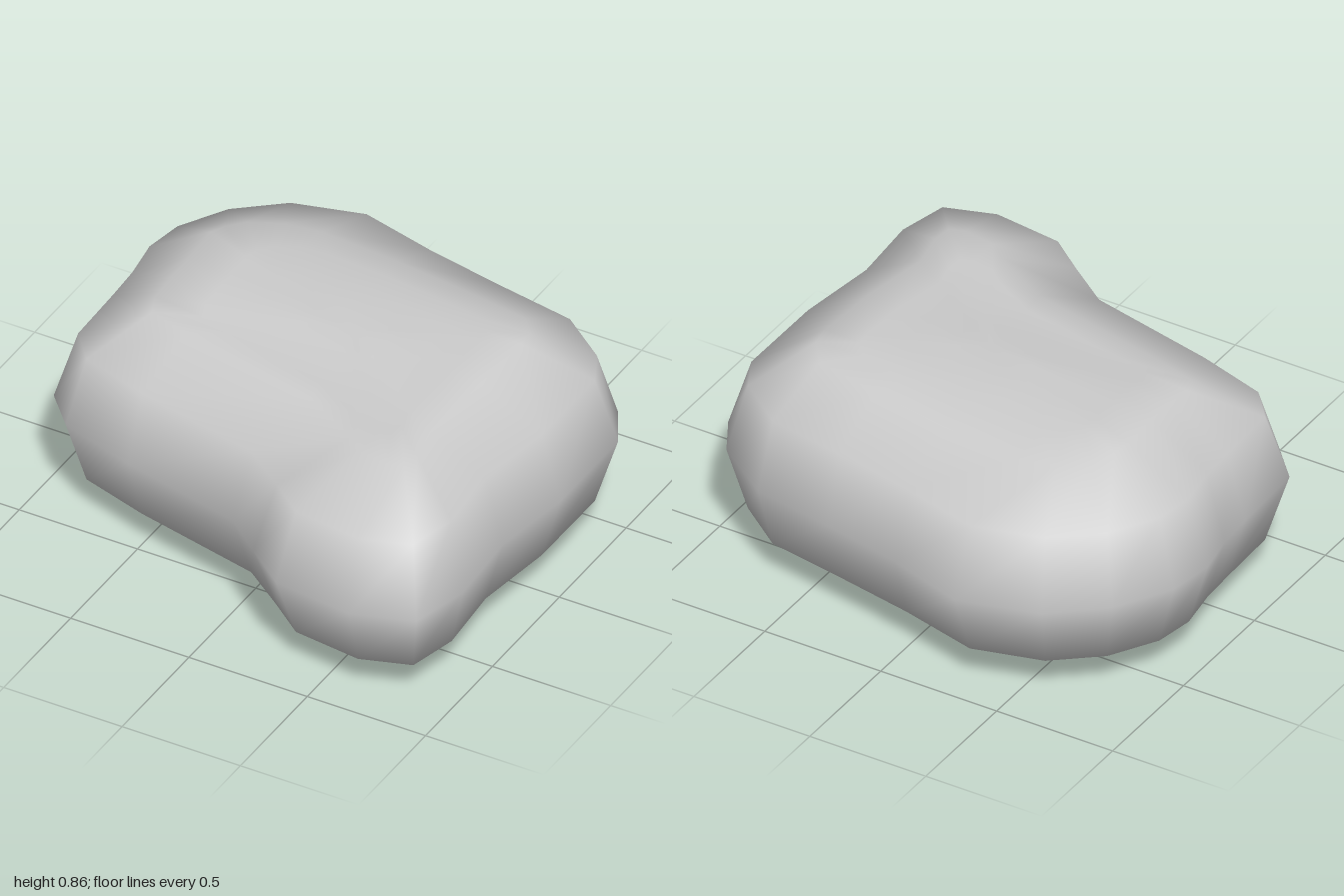
import * as THREE from 'three';

// Plan of the stone: [outer x, outer z, x and z where the flat top begins]
const PLAN = [
  [-0.32, -1, -0.33, -0.58], [0, -0.9, 0, -0.55], [0.33, -0.83, 0.33, -0.5],
  [0.67, -0.77, 0.6, -0.45], [0.91, -0.6, 0.67, -0.36], [1, -0.44, 0.68, -0.28],
  [1, -0.01, 0.67, 0], [0.95, 0.33, 0.64, 0.33], [0.97, 0.67, 0.67, 0.48],
  [0.91, 0.91, 0.66, 0.56], [0.67, 0.99, 0.6, 0.58], [0.34, 0.95, 0.47, 0.56],
  [0.17, 0.82, 0.4, 0.5], [0.01, 0.69, 0.15, 0.36], [-0.5, 0.57, -0.45, 0.23],
  [-0.82, 0.47, -0.62, 0.18], [-0.95, 0.33, -0.65, 0.1], [-0.96, 0, -0.65, -0.02],
  [-0.97, -0.16, -0.65, -0.15], [-1, -0.33, -0.66, -0.33], [-0.97, -0.52, -0.64, -0.4],
  [-0.84, -0.74, -0.59, -0.48], [-0.64, -0.91, -0.48, -0.55],
];
const MID = 0.433;
const CENTRE = [0.1, -0.05];

// Half thickness of the flat part, piecewise along z
const STEPS = [[-0.58, 0.39], [-0.33, 0.43], [-0.06, 0.43], [0.2, 0.398], [0.58, 0.398]];
function thickness(z) {
  for (let i = 1; i < STEPS.length; i++) {
    const [z0, h0] = STEPS[i - 1], [z1, h1] = STEPS[i];
    if (z <= z1) return THREE.MathUtils.lerp(h0, h1, Math.max(0, (z - z0) / (z1 - z0)));
  }
  return 0.398;
}

function createStone() {
  const { lerp } = THREE.MathUtils;
  const n = PLAN.length, positions = [], index = [];

  // One closed ring; side is +1 above the waist, -1 below
  const rimRing = (t, h) => PLAN.forEach(([ox, oz, ix, iz]) =>
    positions.push(lerp(ox, ix, t), MID + h, lerp(oz, iz, t)));
  const flatRing = (s, side) => PLAN.forEach(([, , ix, iz]) => {
    const x = lerp(CENTRE[0], ix, s), z = lerp(CENTRE[1], iz, s);
    positions.push(x, MID + side * thickness(z), z);
  });
  const pole = (side) => positions.push(CENTRE[0], MID + side * thickness(CENTRE[1]), CENTRE[1]);

  // Rings from the underside up to the top
  const scales = [0.25, 0.5, 0.75, 1];
  scales.forEach((s) => flatRing(s, -1));
  rimRing(0.24, -0.273);
  rimRing(0, 0);
  rimRing(0.24, 0.273);
  [...scales].reverse().forEach((s) => flatRing(s, 1));
  const rings = positions.length / 3 / n;
  const bottom = rings * n, top = bottom + 1;
  pole(-1);
  pole(1);

  for (let i = 0; i < n; i++) {
    const j = (i + 1) % n;
    for (let r = 0; r < rings - 1; r++) {
      const a = r * n + i, b = r * n + j, c = a + n, d = b + n;
      index.push(a, c, b, b, c, d);
    }
    index.push(bottom, i, j);
    index.push(top, (rings - 1) * n + j, (rings - 1) * n + i);
  }

  const geometry = new THREE.BufferGeometry();
  geometry.setAttribute('position', new THREE.Float32BufferAttribute(positions, 3));
  geometry.setIndex(index);
  geometry.computeVertexNormals();
  return geometry;
}

export function createModel() {
  const group = new THREE.Group();
  const stone = new THREE.Mesh(createStone(), new THREE.MeshStandardMaterial({ color: 0xcccccc }));
  stone.name = 'stone';
  group.add(stone);
  return group;
}
